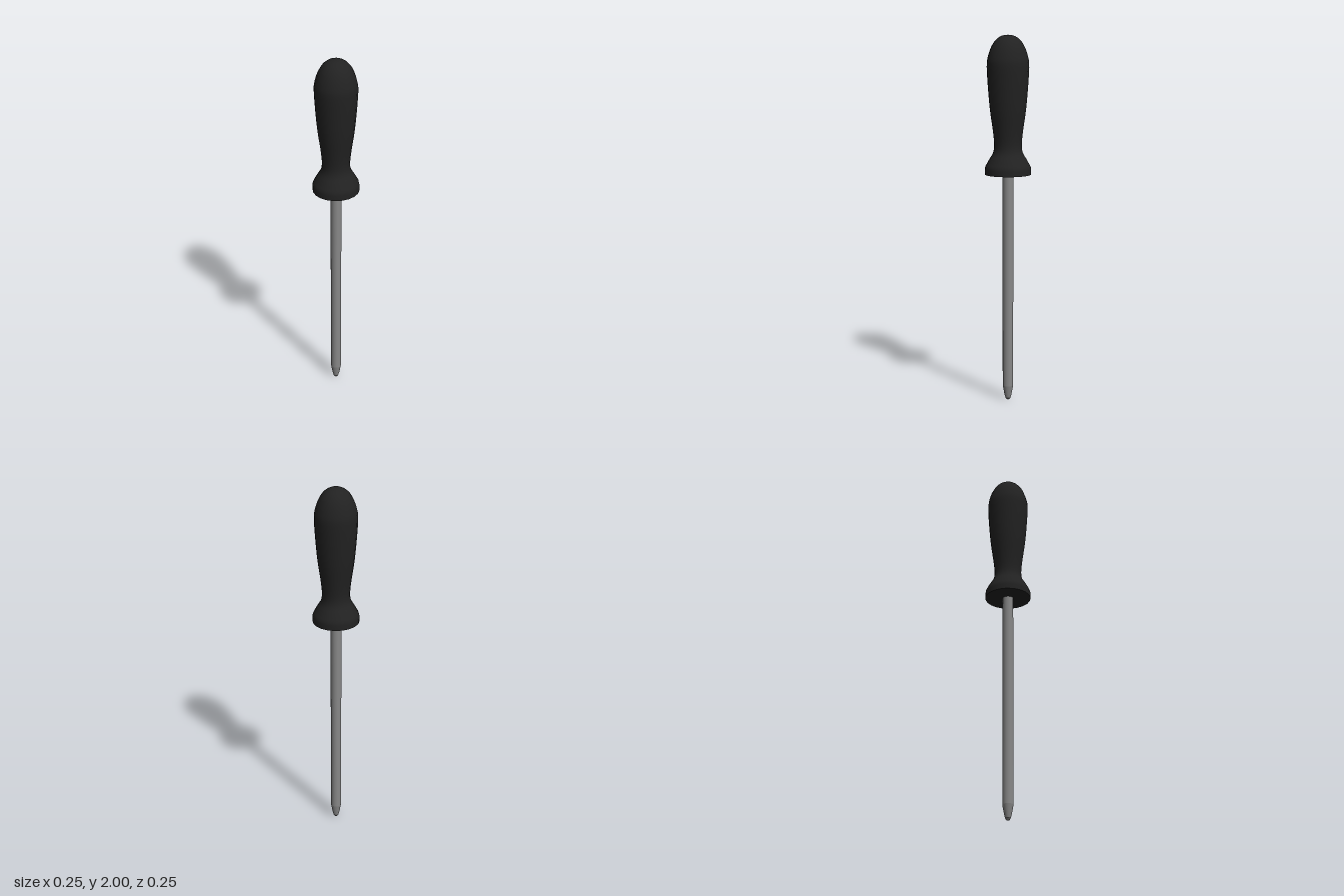
import * as THREE from 'three';

const SIDES = 20;

// Revolves [radius, height] pairs, listed from bottom to top
function turned(name, profile, color) {
  const points = profile.map(([r, y]) => new THREE.Vector2(r, y));
  const material = new THREE.MeshStandardMaterial({ color });
  const mesh = new THREE.Mesh(new THREE.LatheGeometry(points, SIDES), material);
  mesh.name = name;
  return mesh;
}

export function createModel() {
  const group = new THREE.Group();
  group.name = 'screwdriver';
  const black = 0x222222, steel = 0x888888;

  // Handle: straight collar, flare into the neck, swelling grip, domed end
  const grip = new THREE.SplineCurve([
    [0.122, 1.3], [0.1, 1.34], [0.08, 1.375], [0.074, 1.42], [0.082, 1.5],
    [0.096, 1.6], [0.106, 1.71], [0.113, 1.83], [0.108, 1.88], [0.09, 1.935],
    [0.063, 1.975], [0.03, 1.996], [0, 2],
  ].map(([r, y]) => new THREE.Vector2(r, y))).getPoints(36)
    .map((p) => [Math.max(p.x, 0), Math.min(p.y, 2)]);
  group.add(turned('handle', [[0.125, 1.257], [0.125, 1.285], ...grip], black));

  // Flat underside of the handle
  group.add(turned('handleBase', [[0, 1.257], [0.125, 1.257]], black));

  // Steel shaft, running a little way into the handle
  group.add(turned('shaft', [[0.029, 0.08], [0.029, 1.28]], steel));

  // Tapered tip with a small blunt end
  group.add(turned('tip', [[0.014, 0.008], [0.02, 0.03], [0.029, 0.08]], steel));
  group.add(turned('tipEnd', [[0, 0], [0.009, 0], [0.014, 0.008]], steel));

  return group;
}
